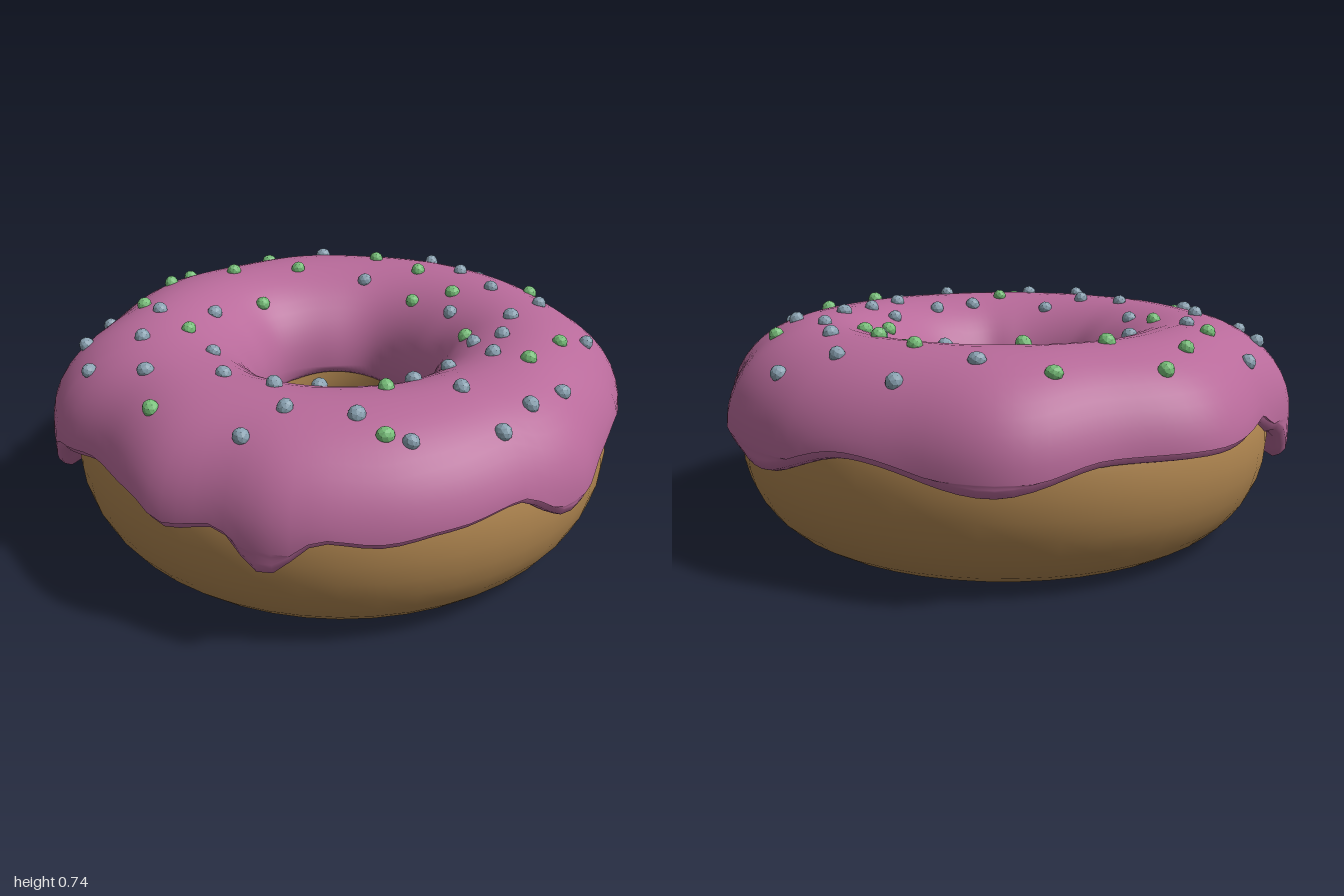
import * as THREE from 'three';

const CORE = 0.63; // radius of the ring's centre line

// Smooth periodic lookup in a list of [degrees, value] pairs
function around(table, deg) {
  const n = table.length;
  for (let i = 0; i < n; i++) {
    const [a, va] = table[i];
    const [b0, vb] = table[(i + 1) % n];
    const b = i === n - 1 ? b0 + 360 : b0;
    for (const d of [deg, deg + 360]) {
      if (d >= a && d <= b) {
        const t = (d - a) / (b - a);
        return va + (vb - va) * t * t * (3 - 2 * t);
      }
    }
  }
  return table[0][1];
}

// Angles run from the front (+z) towards +x
const OUTER_EDGE = [[0, 0.40], [12, 0.42], [26, 0.445], [38, 0.35], [51, 0.40], [65, 0.44], [78, 0.39],
  [90, 0.31], [108, 0.41], [122, 0.36], [134, 0.33], [155, 0.42], [182, 0.35], [203, 0.41], [225, 0.41],
  [245, 0.43], [258, 0.36], [268, 0.23], [274, 0.24], [286, 0.40], [298, 0.43], [313, 0.43], [321, 0.38],
  [331, 0.41], [340, 0.31], [350, 0.42]];
const OUTER_RADIUS = [[0, 0.98], [25, 0.97], [41, 0.985], [55, 0.95], [70, 0.965], [87, 0.995], [105, 0.96],
  [119, 0.98], [140, 0.98], [165, 0.95], [184, 0.99], [205, 0.93], [225, 0.985], [250, 0.935], [270, 1.0],
  [280, 0.995], [300, 0.935], [318, 0.975], [330, 0.955], [343, 0.99]];
const INNER_RADIUS = [[0, 0.31], [15, 0.325], [40, 0.31], [70, 0.30], [90, 0.32], [115, 0.30], [150, 0.315],
  [180, 0.295], [215, 0.315], [240, 0.29], [270, 0.275], [300, 0.28], [320, 0.305]];
const INNER_EDGE = [[0, 0.40], [40, 0.37], [80, 0.41], [130, 0.38], [180, 0.42], [230, 0.38], [290, 0.41], [330, 0.38]];

// Half width of the dough at height y
const doughHalf = (y) => 0.295 * Math.sqrt(Math.max(0, 1 - ((y - 0.33) / 0.34) ** 2));

// Surface swept round the y axis from a section that varies with the angle
function sweptRing(section, segments, closed) {
  const pos = [], idx = [];
  let m = 0;
  for (let i = 0; i < segments; i++) {
    const a = (i / segments) * Math.PI * 2;
    const pts = section((i / segments) * 360);
    m = pts.length;
    for (const [r, y] of pts) pos.push(r * Math.sin(a), y, r * Math.cos(a));
  }
  for (let i = 0; i < segments; i++) {
    const k = (i + 1) % segments;
    for (let j = 0; j < (closed ? m : m - 1); j++) {
      const l = (j + 1) % m;
      idx.push(i * m + j, k * m + j, i * m + l, k * m + j, k * m + l, i * m + l);
    }
  }
  const g = new THREE.BufferGeometry();
  g.setAttribute('position', new THREE.Float32BufferAttribute(pos, 3));
  g.setIndex(idx);
  g.computeVertexNormals();
  return g;
}

function doughSection() {
  const pts = [];
  for (let j = 0; j < 32; j++) {
    const p = (j / 32) * Math.PI * 2;
    pts.push([CORE + 0.295 * Math.cos(p), Math.max(0, 0.33 + 0.34 * Math.sin(p))]);
  }
  return pts;
}

// Point on the domed top of the icing; p runs from 0 (outside) to PI (hole)
function dome(deg, p) {
  const c = Math.cos(p);
  const half = c > 0 ? around(OUTER_RADIUS, deg) - CORE : CORE - around(INNER_RADIUS, deg);
  return [CORE + half * c, 0.4 + 0.315 * Math.sin(p)];
}

function icingSection(deg) {
  const R = around(OUTER_RADIUS, deg), e = around(OUTER_EDGE, deg);
  const r = around(INNER_RADIUS, deg), f = around(INNER_EDGE, deg);
  const pts = [];
  // Rounded outer lip, tucked into the dough
  const wall = R - (0.925 - CORE - doughHalf(e));
  pts.push([CORE + doughHalf(e + 0.03) - 0.02, e + 0.03]);
  pts.push([wall - 0.035, e], [wall - 0.012, e + 0.008]);
  // Drip wall, then the dome
  const start = Math.max(0, Math.asin(Math.min(1, (e + 0.03 - 0.4) / 0.315)));
  const top = 0.4 + 0.315 * Math.sin(start);
  for (let j = 0; j < 4; j++) {
    const y = e + 0.03 + (top - e - 0.03) * (j / 4);
    const d = dome(deg, start)[0];
    pts.push([d - Math.max(0, doughHalf(0.36) - doughHalf(y)) * (1 - j / 4), y + j * 0.0005]);
  }
  for (let j = 0; j <= 22; j++) pts.push(dome(deg, start + (Math.PI - start) * (j / 22)));
  // Inner lip
  pts.push([r + 0.002, f - 0.03], [r + 0.015, f - 0.05], [CORE - doughHalf(f) + 0.03, f - 0.04]);
  return pts;
}

// Height of the icing above a point in plan
function icingHeight(x, z) {
  const deg = (Math.atan2(x, z) * 180 / Math.PI + 360) % 360;
  const d = Math.hypot(x, z) - CORE;
  const half = d > 0 ? around(OUTER_RADIUS, deg) - CORE : CORE - around(INNER_RADIUS, deg);
  return 0.4 + 0.315 * Math.sqrt(Math.max(0, 1 - (d / half) ** 2));
}

// Sprinkle places as [x, z]
const GREEN = [[-0.2, -0.78], [-0.52, -0.65], [-0.59, -0.49], [-0.35, -0.53], [-0.1, -0.55], [-0.25, -0.35],
  [0.22, -0.62], [0.36, -0.46], [0.31, -0.3], [0.45, -0.25], [0.75, -0.26], [-0.68, -0.24], [-0.52, 0.01],
  [0.43, 0.06], [0.7, 0.26], [0.55, 0.41], [0.07, 0.56], [-0.63, 0.52], [0.03, 0.8]];
const BLUE = [[0.02, -0.75], [0.25, -0.8], [0.45, -0.64], [0.64, -0.61], [0.15, -0.46], [0.52, -0.43],
  [0.59, -0.23], [0.42, -0.14], [0.73, -0.08], [0.59, 0.05], [0.43, 0.18], [0.52, 0.2], [0.82, 0.18],
  [0.45, 0.35], [0.3, 0.38], [0.17, 0.47], [0.29, 0.6], [0.49, 0.65], [0.62, 0.55], [0.38, 0.76],
  [0.1, 0.82], [-0.04, 0.72], [-0.12, 0.46], [-0.26, 0.5], [-0.24, 0.66], [-0.37, 0.73], [-0.41, 0.41],
  [-0.65, 0.33], [-0.44, 0.17], [-0.67, 0.09], [-0.84, 0.19], [-0.87, -0.04], [-0.62, -0.15],
  [-0.43, -0.19], [-0.81, -0.28]];

export function createModel() {
  const material = (name, color, extra = {}) => {
    const m = new THREE.MeshStandardMaterial({ color, ...extra });
    m.name = name;
    return m;
  };
  const doughMat = material('golden dough', 0xb08650);
  const icingMat = material('pink icing', 0xb86a9a);
  const greenMat = material('green sugar', 0x78c07a, { flatShading: true });
  const blueMat = material('blue sugar', 0x8aa2b2, { flatShading: true });

  const model = new THREE.Group();
  model.name = 'doughnut';
  const add = (name, geometry, mat, parent = model) => {
    const mesh = new THREE.Mesh(geometry, mat);
    mesh.name = name;
    parent.add(mesh);
    return mesh;
  };

  const dough = add('dough', sweptRing(doughSection, 48, true), doughMat);
  dough.position.set(0.005, 0, 0.01);
  add('icing', sweptRing(icingSection, 120, false), icingMat);

  // Sprinkles, each a small faceted bead turned a different way
  const bead = new THREE.IcosahedronGeometry(0.027, 1);
  for (const [name, mat, places] of [['greenSprinkles', greenMat, GREEN], ['blueSprinkles', blueMat, BLUE]]) {
    const group = new THREE.Group();
    group.name = name;
    model.add(group);
    places.forEach(([x, z], i) => {
      const s = add('sprinkle', bead, mat, group);
      s.position.set(x, icingHeight(x, z) + 0.002, z);
      s.rotation.set(i * 1.3, i * 2.1, i * 0.7);
      s.scale.set(1.05, 0.9 + 0.1 * (i % 2), 0.95);
    });
  }
  return model;
}
